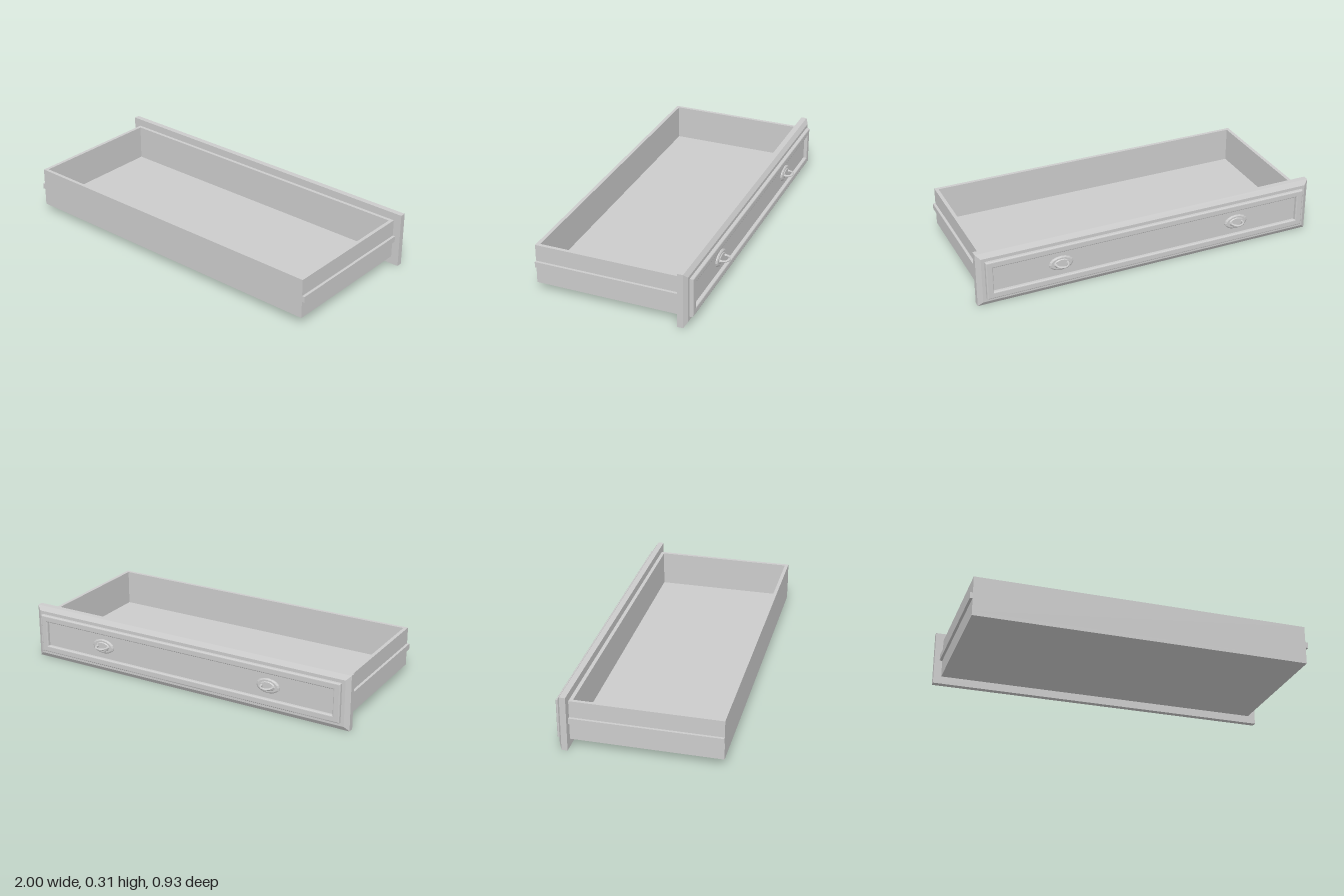
import * as THREE from 'three';

const material = new THREE.MeshStandardMaterial({ color: 0xcccccc, flatShading: true });

function add(parent, name, geometry, x = 0, y = 0, z = 0) {
  const mesh = new THREE.Mesh(geometry, material);
  mesh.name = name;
  mesh.position.set(x, y, z);
  parent.add(mesh);
  return mesh;
}

// Box given by its minimum and maximum corners
function slab(parent, name, [x0, y0, z0], [x1, y1, z1]) {
  return add(parent, name, new THREE.BoxGeometry(x1 - x0, y1 - y0, z1 - z0),
    (x0 + x1) / 2, (y0 + y1) / 2, (z0 + z1) / 2);
}

function rectangle(PathType, w, h) {
  const p = new PathType();
  p.moveTo(-w, -h);
  p.lineTo(w, -h);
  p.lineTo(w, h);
  p.lineTo(-w, h);
  p.closePath();
  return p;
}

// Front board with its outer edge chamfered on the -z side
function chamferedBoard() {
  const g = new THREE.BoxGeometry(2, 0.315, 0.05, 1, 1, 2);
  const p = g.attributes.position;
  for (let i = 0; i < p.count; i++) {
    const z = p.getZ(i);
    if (Math.abs(z) < 0.001) p.setZ(i, -0.008);
    if (z < -0.02) {
      p.setX(i, p.getX(i) - Math.sign(p.getX(i)) * 0.026);
      p.setY(i, p.getY(i) - Math.sign(p.getY(i)) * 0.026);
    }
  }
  g.computeVertexNormals();
  return g;
}

// Oval backplate and projecting bail
function makeHandle(x) {
  const handle = new THREE.Group();
  handle.name = 'handle';
  handle.position.set(x, 0.159, -0.405);

  const profile = [[0, 0.014], [0.55, 0.014], [0.65, 0.010], [0.85, 0.010], [1, 0.005], [1, -0.002]]
    .map(([r, h]) => new THREE.Vector2(r, h)).reverse();
  const plate = new THREE.LatheGeometry(profile, 16);
  plate.rotateX(-Math.PI / 2);
  plate.scale(0.07, 0.042, 1);
  add(handle, 'backplate', plate);

  const bail = new THREE.TorusGeometry(0.034, 0.006, 8, 12, Math.PI);
  bail.rotateX(-Math.PI / 2);
  add(handle, 'pull', bail, 0, 0, -0.02);

  for (const side of [-1, 1]) {
    const post = new THREE.CylinderGeometry(0.007, 0.009, 0.022, 8);
    post.rotateX(-Math.PI / 2);
    add(handle, 'pullPost', post, side * 0.034, 0, -0.011);
  }
  return handle;
}

export function createModel() {
  const model = new THREE.Group();
  model.name = 'drawer';

  // Open box
  const bottom = 0.045, top = 0.272, front = -0.355, back = 0.465, half = 0.955, wall = 0.02;
  slab(model, 'floor', [-half, bottom, front], [half, 0.068, back]);
  slab(model, 'endWall', [-half, 0.068, back - wall], [half, top, back]);
  slab(model, 'innerFrontWall', [-half, 0.068, front], [half, top, front + wall]);

  // Side walls and their runners
  for (const s of [-1, 1]) {
    const span = (name, a, b, y0, y1, z0, z1) =>
      slab(model, name, [Math.min(s * a, s * b), y0, z0], [Math.max(s * a, s * b), y1, z1]);
    span('sideWall', half - wall, half, 0.068, top, front + wall, back - wall);
    span('runner', half, 0.97, 0.143, 0.177, front, back);
  }

  // Front board
  add(model, 'frontBoard', chamferedBoard(), 0, 0.1575, -0.38);

  // Raised moulding around the panel
  const bevel = 0.007;
  const outline = rectangle(THREE.Shape, 0.955 - bevel, 0.112 - bevel);
  outline.holes.push(rectangle(THREE.Path, 0.915 + bevel, 0.074 + bevel));
  const moulding = new THREE.ExtrudeGeometry(outline, {
    depth: 0.018, bevelEnabled: true, bevelSize: bevel, bevelThickness: bevel, bevelSegments: 3,
  });
  moulding.rotateY(Math.PI);
  add(model, 'moulding', moulding, 0, 0.159, -0.4);

  // Handles
  for (const s of [-1, 1]) model.add(makeHandle(s * 0.53));

  return model;
}
